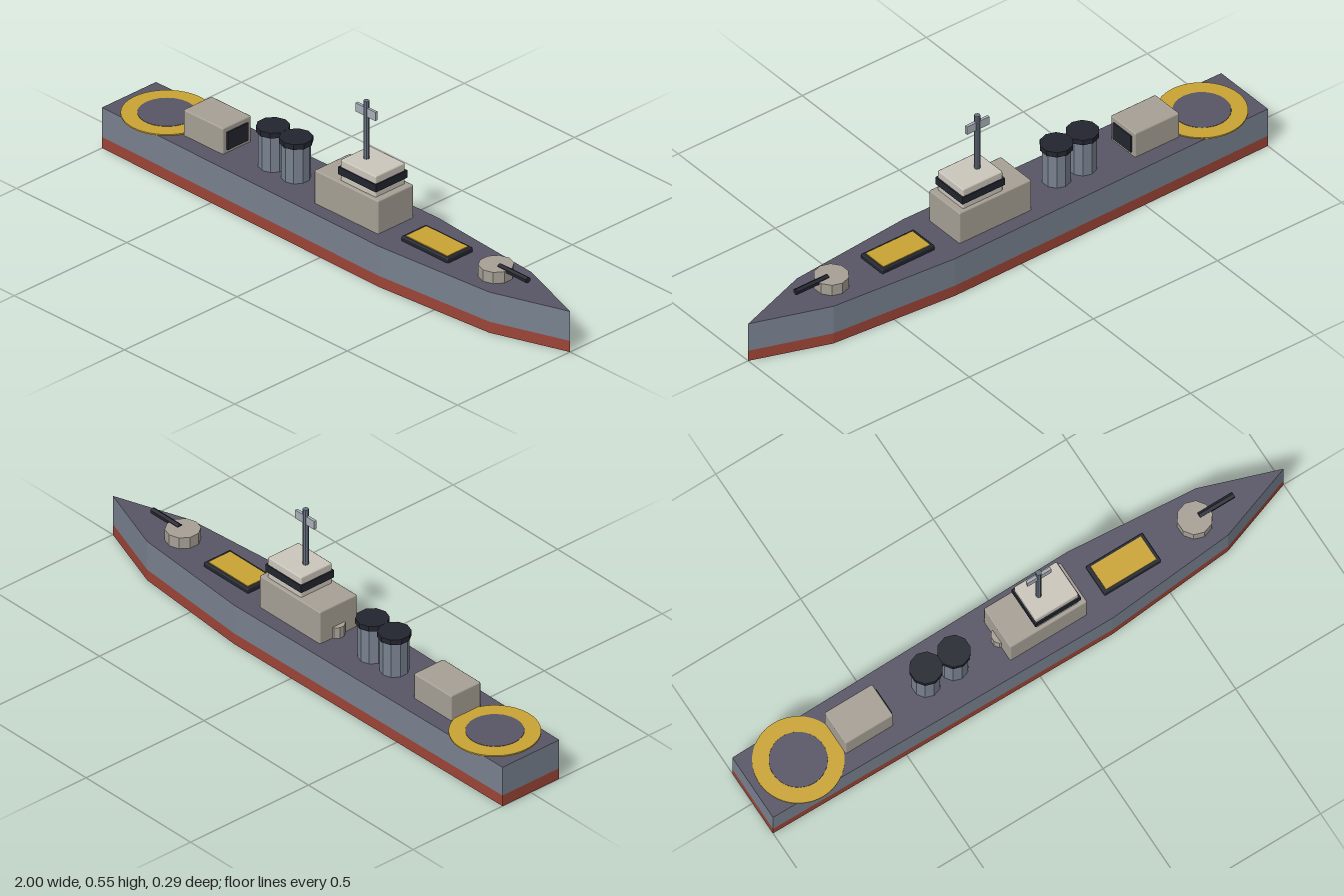
import * as THREE from 'three';
import { RoundedBoxGeometry } from 'three/addons/geometries/RoundedBoxGeometry.js';

const mat = (name, color) => {
  const m = new THREE.MeshStandardMaterial({ color });
  m.name = name;
  return m;
};

export function createModel() {
  const hullGrey = mat('hull grey', 0x78818f);
  const hullRed = mat('hull red', 0x9c4436);
  const deckGrey = mat('deck grey', 0x585665);
  const tan = mat('superstructure tan', 0xa6a095);
  const cream = mat('bridge cream', 0xcbc6bb);
  const dark = mat('dark', 0x23252f);
  const yellow = mat('marking yellow', 0xcaa433);
  const mastGrey = mat('mast grey', 0x667080);
  const panelGrey = mat('panel grey', 0xa9b0b8);

  const DECK = 0.147;
  const model = new THREE.Group();
  model.name = 'ship';

  const add = (name, geometry, material, x = 0, y = 0, z = 0, parent = model) => {
    const mesh = new THREE.Mesh(geometry, material);
    mesh.name = name;
    mesh.position.set(x, y, z);
    parent.add(mesh);
    return mesh;
  };
  // Box given by its limits in x and y and its half width in z
  const box = (name, x0, x1, y0, y1, hz, material, bevel = 0) => {
    const w = x1 - x0, h = y1 - y0;
    const g = bevel
      ? new RoundedBoxGeometry(w, h, 2 * hz, 1, bevel)
      : new THREE.BoxGeometry(w, h, 2 * hz);
    return add(name, g, material, (x0 + x1) / 2, (y0 + y1) / 2);
  };
  // Faceted upright cylinder standing on y0
  const drum = (name, r, y0, y1, x, material, sides = 10, parent = model) => {
    const g = new THREE.CylinderGeometry(r, r, y1 - y0, sides).toNonIndexed();
    g.computeVertexNormals();
    return add(name, g, material, x, (y0 + y1) / 2, 0, parent);
  };

  // Hull: one plan outline, extruded as two layers
  const half = [[-1, 0.12], [0.27, 0.133], [0.73, 0.094]];
  const outline = new THREE.Shape([
    ...half.map(([x, z]) => new THREE.Vector2(x, -z)),
    new THREE.Vector2(1, 0),
    ...half.slice().reverse().map(([x, z]) => new THREE.Vector2(x, z)),
  ]);
  const layer = (name, y0, y1, materials) => {
    const g = new THREE.ExtrudeGeometry(outline, { depth: y1 - y0, bevelEnabled: false });
    g.rotateX(-Math.PI / 2);
    add(name, g, materials, 0, y0);
  };
  layer('lowerHull', 0, 0.04, hullRed);
  layer('upperHullAndDeck', 0.04, DECK, [deckGrey, hullGrey]);

  // Landing circle on the aft deck
  const ring = new THREE.Shape().absarc(0, 0, 0.147, 0, Math.PI * 2);
  ring.holes.push(new THREE.Path().absarc(0, 0, 0.094, 0, Math.PI * 2, true));
  const ringGeo = new THREE.ExtrudeGeometry(ring, { depth: 0.005, bevelEnabled: false, curveSegments: 24 });
  ringGeo.rotateX(-Math.PI / 2);
  add('landingRing', ringGeo, yellow, -0.828, 0.146);
  drum('landingPad', 0.094, 0.146, 0.152, -0.828, deckGrey, 24);

  // Hangar with its door
  box('hangar', -0.69, -0.51, DECK - 0.005, 0.24, 0.063, tan, 0.005);
  box('hangarDoor', -0.513, -0.505, 0.158, 0.222, 0.046, dark);

  // Twin funnels with caps
  for (const x of [-0.347, -0.242]) {
    const funnel = new THREE.Group();
    funnel.name = 'funnel';
    model.add(funnel);
    drum('funnelBody', 0.048, DECK, 0.274, x, hullGrey, 10, funnel);
    drum('funnelCap', 0.055, 0.274, 0.293, x, dark, 10, funnel);
  }

  // Bridge: lower block, wheelhouse and wrap-around windows
  box('bridgeBlock', -0.08, 0.21, DECK - 0.005, 0.266, 0.079, tan, 0.005);
  drum('aftMount', 0.03, DECK, 0.187, -0.068, tan);
  box('wheelhouse', 0.025, 0.186, 0.26, 0.341, 0.066, cream, 0.005);
  box('windowBand', 0.02, 0.191, 0.287, 0.314, 0.07, dark);

  // Mast with its panel
  drum('mast', 0.01, 0.335, 0.549, 0.077, mastGrey, 8);
  box('mastPanel', 0.032, 0.122, 0.494, 0.525, 0.005, panelGrey);

  // Forward hatch with a yellow lid
  box('hatchFrame', 0.29, 0.503, DECK - 0.005, 0.163, 0.056, dark, 0.004);
  box('hatchLid', 0.302, 0.491, 0.16, 0.166, 0.046, yellow);

  // Forward gun
  drum('gunTurret', 0.058, DECK, 0.188, 0.665, tan);
  const barrel = new THREE.CylinderGeometry(0.011, 0.011, 0.13, 6).toNonIndexed();
  barrel.computeVertexNormals();
  barrel.rotateY(Math.PI / 2);
  barrel.rotateZ(-Math.PI / 2);
  add('gunBarrel', barrel, dark, 0.745, 0.185);

  return model;
}
